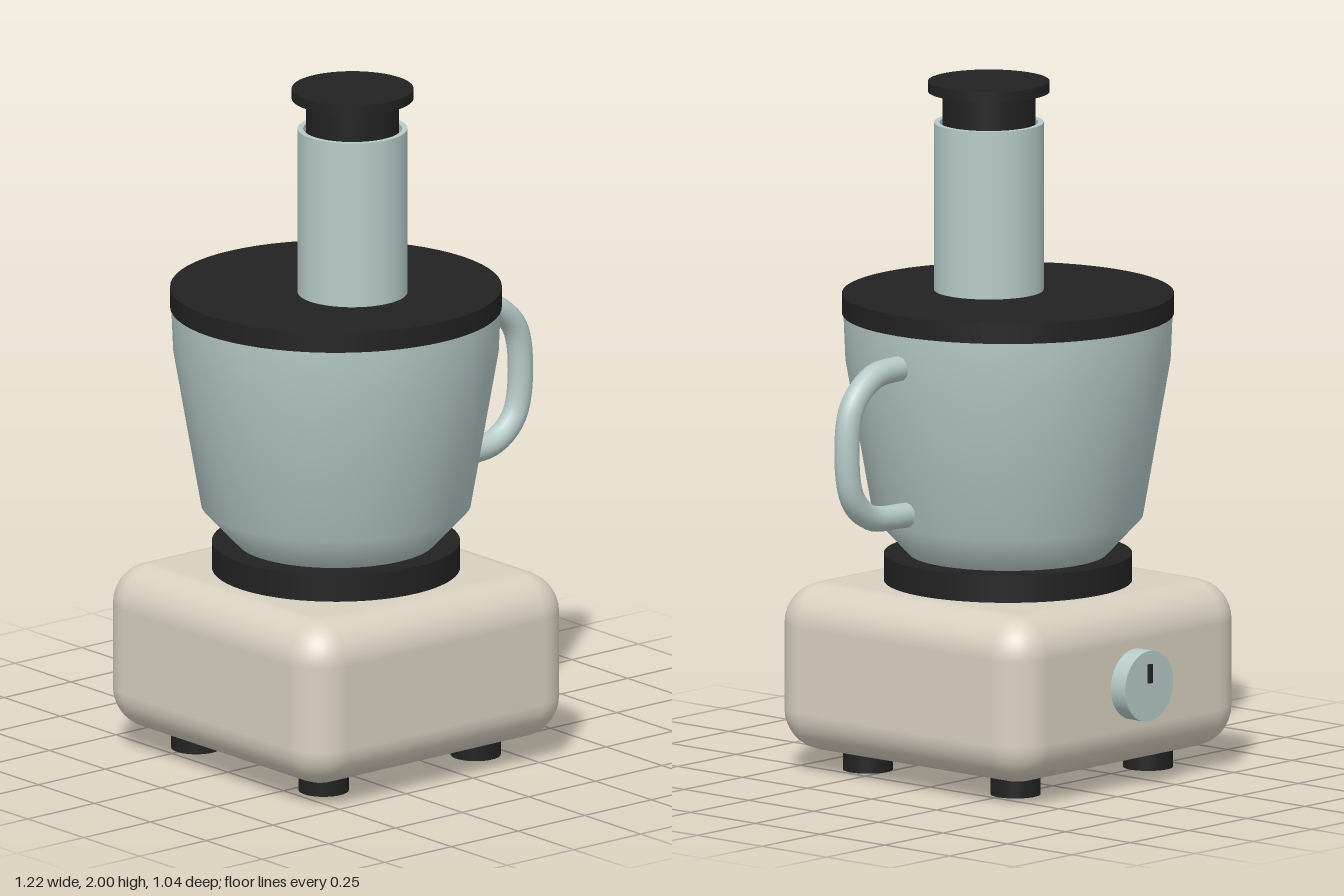
import * as THREE from 'three';
import { RoundedBoxGeometry } from 'three/addons/geometries/RoundedBoxGeometry.js';

export function createModel() {
  const model = new THREE.Group();
  model.name = 'foodProcessor';

  const cream = new THREE.MeshStandardMaterial({ color: 0xd8d0c0 });
  cream.name = 'cream';
  const black = new THREE.MeshStandardMaterial({ color: 0x222222 });
  black.name = 'black';
  const glass = new THREE.MeshStandardMaterial({ color: 0xb6cac8 });
  glass.name = 'paleTeal';

  // Shared axis of the base, bowl and lid
  const CX = -0.121, CZ = 0.032, TUBE_Z = 0.106;

  function add(name, geometry, material, x = 0, y = 0, z = 0) {
    const mesh = new THREE.Mesh(geometry, material);
    mesh.name = name;
    mesh.position.set(x, y, z);
    model.add(mesh);
    return mesh;
  }
  // Upright disc from y0 to y1
  const disc = (name, r, y0, y1, material, x = CX, z = CZ) =>
    add(name, new THREE.CylinderGeometry(r, r, y1 - y0, 64), material, x, (y0 + y1) / 2, z);
  const points = (list) => list.map(([r, y]) => new THREE.Vector2(r, y));

  // Motor base with four feet
  add('motorBase', new RoundedBoxGeometry(0.98, 0.49, 0.98, 4, 0.12), cream, CX, 0.305, CZ);
  for (const sx of [-1, 1]) {
    for (const sz of [-1, 1]) {
      disc('foot', 0.072, 0, 0.075, black, CX + sx * 0.285, CZ + sz * 0.285);
    }
  }
  disc('collar', 0.357, 0.54, 0.63, black);

  // Bowl
  const bowl = points([[0, 0.61], [0.267, 0.61], [0.388, 0.74], [0.468, 1.2], [0.474, 1.34]]);
  add('bowl', new THREE.LatheGeometry(bowl, 64), glass, CX, 0, CZ);
  disc('lid', 0.477, 1.33, 1.39, black);

  // Hollow feed tube and its pusher
  const tube = points([[0.158, 1.385], [0.158, 1.88]]);
  add('feedTube', new THREE.LatheGeometry(tube, 48), glass, CX, 0, TUBE_Z);
  add('feedTubeRim', new THREE.RingGeometry(0.142, 0.158, 48), glass, CX, 1.88, TUBE_Z)
    .rotation.x = -Math.PI / 2;
  const inner = points([[0.142, 1.88], [0.142, 1.39]]);
  add('feedTubeInside', new THREE.LatheGeometry(inner, 48), glass, CX, 0, TUBE_Z);
  disc('pusher', 0.134, 1.42, 1.98, black, CX, TUBE_Z);
  disc('pusherCap', 0.175, 1.97, 2.0, black, CX, TUBE_Z);

  // Looped handle on the left side
  const path = new THREE.CatmullRomCurve3([
    [0.32, 1.235], [0.46, 1.222], [0.545, 1.15], [0.569, 1.02],
    [0.545, 0.88], [0.47, 0.815], [0.317, 0.8],
  ].map(([x, y]) => new THREE.Vector3(x, y, 0.034)));
  add('handle', new THREE.TubeGeometry(path, 40, 0.037, 12), glass);
  const end = path.getPoint(1);
  const cap = add('handleEnd', new THREE.CircleGeometry(0.037, 12), glass, end.x, end.y, end.z);
  cap.lookAt(end.clone().add(path.getTangent(1)));

  // Speed knob with pointer mark on the back
  const knob = add('knob', new THREE.CylinderGeometry(0.103, 0.103, 0.075, 40), glass, CX, 0.308, -0.476);
  knob.rotation.x = Math.PI / 2;
  add('knobPointer', new THREE.BoxGeometry(0.014, 0.055, 0.009), black, CX, 0.345, -0.518);

  return model;
}
